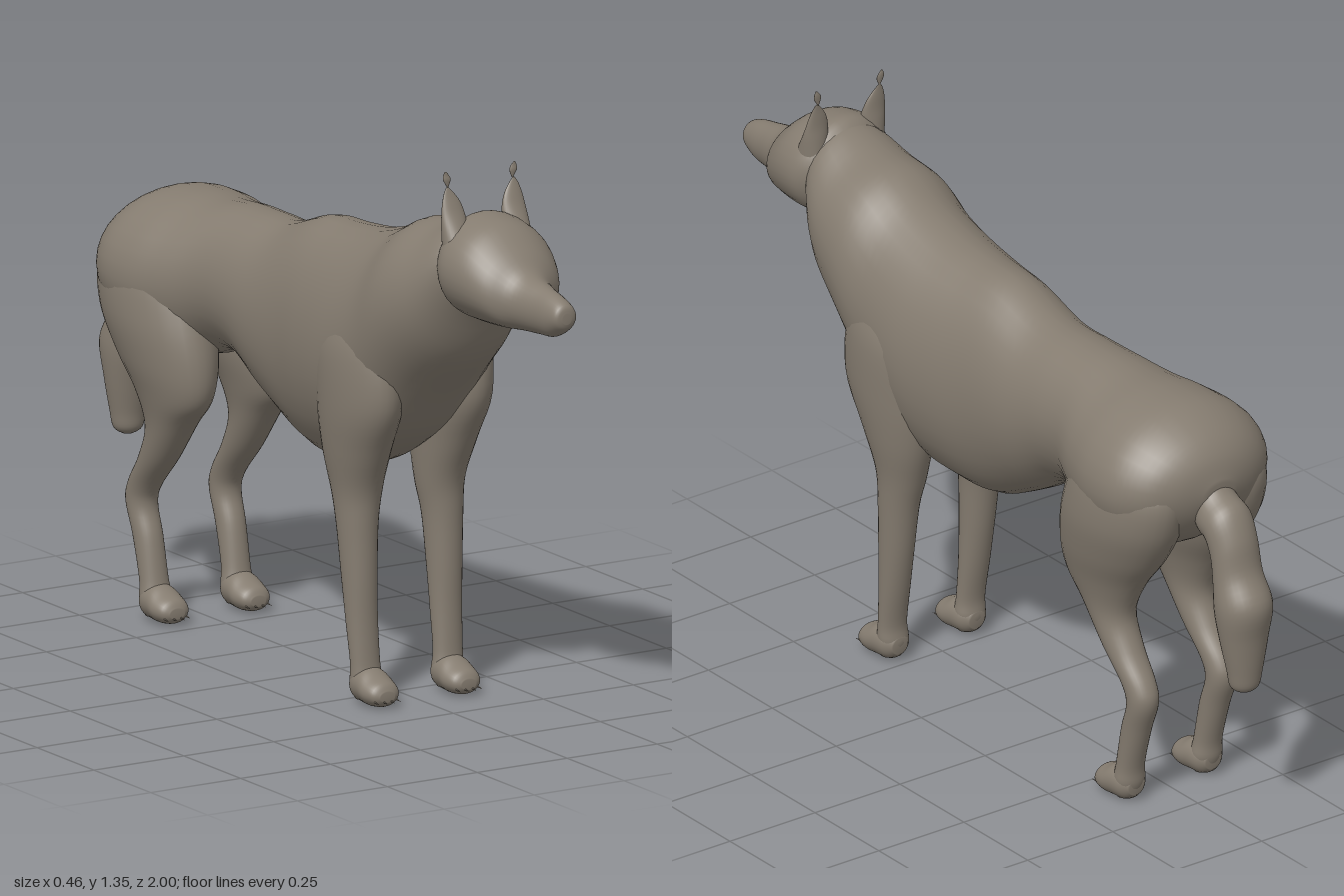
import * as THREE from 'three';

const SIDES = 32, STEPS = 5;

// Catmull-Rom blend of four values
const blend = (a, b, c, d, t) =>
  0.5 * (2 * b + (c - a) * t + (2 * a - 5 * b + 4 * c - d) * t * t + (3 * b - a - 3 * c + d) * t * t * t);

// Smooth skin over oval rings. Each ring is [zA, yA, zB, yB, xCentre, halfWidth]:
// A and B are the ends of its diameter in the side profile.
function loft(rings) {
  const at = (i) => rings[Math.min(rings.length - 1, Math.max(0, i))];
  const fine = [];
  for (let i = 0; i < rings.length - 1; i++) {
    for (let s = 0; s < STEPS; s++) {
      fine.push(rings[i].map((_, k) => blend(at(i - 1)[k], at(i)[k], at(i + 1)[k], at(i + 2)[k], s / STEPS)));
    }
  }
  fine.push(rings[rings.length - 1]);
  const pos = [], idx = [];
  for (const [zA, yA, zB, yB, x, w] of fine) {
    for (let j = 0; j < SIDES; j++) {
      const t = (j / SIDES) * Math.PI * 2, c = Math.cos(t) / 2;
      pos.push(x + w * Math.sin(t), (yA + yB) / 2 + (yA - yB) * c, (zA + zB) / 2 + (zA - zB) * c);
    }
  }
  const n = fine.length;
  for (let i = 0; i < n - 1; i++) {
    for (let j = 0; j < SIDES; j++) {
      const k = (j + 1) % SIDES, a = i * SIDES + j, b = i * SIDES + k;
      idx.push(a, b, b + SIDES, a, b + SIDES, a + SIDES);
    }
  }
  // end caps
  [fine[0], fine[n - 1]].forEach(([zA, yA, zB, yB, x], e) => {
    const pole = pos.length / 3, base = e * (n - 1) * SIDES;
    pos.push(x, (yA + yB) / 2, (zA + zB) / 2);
    for (let j = 0; j < SIDES; j++) {
      const a = base + j, b = base + ((j + 1) % SIDES);
      if (e) idx.push(pole, a, b);
      else idx.push(pole, b, a);
    }
  });
  const g = new THREE.BufferGeometry();
  g.setAttribute('position', new THREE.Float32BufferAttribute(pos, 3));
  g.setIndex(idx);
  g.computeVertexNormals();
  return g;
}

// nose to back of skull
const HEAD = [
  [1.0, 1.08, 1.0, 1.055, 0, 0.012], [0.993, 1.1, 0.99, 1.037, 0, 0.03],
  [0.96, 1.115, 0.95, 1.015, 0, 0.038], [0.9, 1.128, 0.9, 1.01, 0, 0.046],
  [0.84, 1.145, 0.84, 1.006, 0, 0.066], [0.79, 1.19, 0.8, 1.003, 0, 0.108],
  [0.73, 1.235, 0.74, 1.0, 0, 0.132], [0.67, 1.25, 0.67, 1.0, 0, 0.14],
  [0.625, 1.25, 0.635, 1.005, 0, 0.128], [0.59, 1.22, 0.6, 1.03, 0, 0.1],
];
// neck to rump
const BODY = [
  [0.66, 1.2, 0.67, 1.06, 0, 0.06], [0.62, 1.238, 0.63, 1.0, 0, 0.12],
  [0.52, 1.208, 0.57, 0.88, 0, 0.165], [0.42, 1.195, 0.46, 0.765, 0, 0.188],
  [0.32, 1.15, 0.35, 0.64, 0, 0.19], [0.2, 1.118, 0.2, 0.55, 0, 0.195],
  [0.08, 1.104, 0.08, 0.528, 0, 0.183], [-0.04, 1.096, -0.04, 0.537, 0, 0.166],
  [-0.18, 1.05, -0.18, 0.605, 0, 0.16], [-0.3, 1.045, -0.3, 0.675, 0, 0.155],
  [-0.4, 1.043, -0.4, 0.69, 0, 0.163], [-0.5, 1.034, -0.5, 0.66, 0, 0.198],
  [-0.6, 1.036, -0.6, 0.65, 0, 0.226], [-0.7, 1.028, -0.7, 0.675, 0, 0.226],
  [-0.78, 0.99, -0.77, 0.72, 0, 0.185], [-0.825, 0.94, -0.81, 0.77, 0, 0.12],
  [-0.843, 0.88, -0.835, 0.82, 0, 0.04],
];
// root to tip
const TAIL = [
  [-0.78, 0.92, -0.76, 0.8, 0, 0.045], [-0.85, 0.86, -0.8, 0.745, 0, 0.06],
  [-0.9, 0.83, -0.835, 0.73, 0, 0.064], [-0.935, 0.765, -0.85, 0.69, 0, 0.062],
  [-0.955, 0.685, -0.858, 0.63, 0, 0.064], [-0.998, 0.61, -0.86, 0.57, 0, 0.07],
  [-0.985, 0.52, -0.877, 0.5, 0, 0.06], [-0.973, 0.43, -0.893, 0.43, 0, 0.045],
  [-0.965, 0.388, -0.9, 0.388, 0, 0.036], [-0.945, 0.372, -0.92, 0.372, 0, 0.014],
];
// shoulder to heel
const FRONT_LEG = [
  [0.2, 0.95, 0.36, 0.97, 0.12, 0.045], [0.14, 0.85, 0.42, 0.88, 0.125, 0.075],
  [0.14, 0.72, 0.43, 0.74, 0.125, 0.078], [0.16, 0.6, 0.37, 0.62, 0.12, 0.07],
  [0.19, 0.5, 0.325, 0.52, 0.115, 0.058], [0.212, 0.42, 0.315, 0.43, 0.118, 0.049],
  [0.23, 0.3, 0.315, 0.3, 0.118, 0.043], [0.247, 0.2, 0.315, 0.2, 0.117, 0.04],
  [0.265, 0.1, 0.32, 0.1, 0.115, 0.038], [0.262, 0.05, 0.325, 0.06, 0.113, 0.04],
  [0.275, 0.012, 0.32, 0.012, 0.113, 0.028],
];
// hip to heel, bent at knee and hock
const HIND_LEG = [
  [-0.74, 0.95, -0.58, 0.95, 0.1, 0.05], [-0.81, 0.86, -0.48, 0.88, 0.115, 0.1],
  [-0.8, 0.76, -0.43, 0.76, 0.118, 0.112], [-0.745, 0.66, -0.408, 0.65, 0.116, 0.098],
  [-0.675, 0.57, -0.42, 0.565, 0.116, 0.074], [-0.635, 0.48, -0.48, 0.5, 0.116, 0.056],
  [-0.665, 0.4, -0.558, 0.4, 0.116, 0.047], [-0.715, 0.33, -0.63, 0.32, 0.116, 0.04],
  [-0.728, 0.28, -0.648, 0.27, 0.116, 0.038], [-0.7, 0.2, -0.626, 0.2, 0.115, 0.036],
  [-0.67, 0.1, -0.607, 0.1, 0.114, 0.036], [-0.665, 0.05, -0.6, 0.06, 0.113, 0.04],
  [-0.65, 0.012, -0.605, 0.012, 0.113, 0.028],
];
// toes to heel, measured from the tip of the toes
const PAW = [
  [0, 0.045, 0, 0.02, 0.113, 0.02], [-0.012, 0.063, -0.012, 0.008, 0.113, 0.038],
  [-0.04, 0.075, -0.04, 0.003, 0.113, 0.047], [-0.07, 0.09, -0.07, 0.003, 0.113, 0.046],
  [-0.105, 0.09, -0.105, 0.006, 0.113, 0.041], [-0.128, 0.065, -0.125, 0.022, 0.113, 0.022],
];
// base to top, a thin cupped blade
const EAR = [
  [0.7, 1.16, 0.61, 1.16, 0.085, 0.034], [0.665, 1.22, 0.612, 1.22, 0.084, 0.034],
  [0.646, 1.255, 0.615, 1.255, 0.084, 0.031], [0.634, 1.283, 0.616, 1.283, 0.086, 0.024],
  [0.625, 1.305, 0.617, 1.305, 0.09, 0.013], [0.62, 1.318, 0.617, 1.318, 0.092, 0.003],
];
const EAR_TIP = [
  [0.618, 1.318, 0.615, 1.318, 0.09, 0.002], [0.62, 1.335, 0.613, 1.335, 0.092, 0.01],
  [0.618, 1.346, 0.613, 1.346, 0.094, 0.008], [0.617, 1.355, 0.615, 1.355, 0.096, 0.002],
];

export function createModel() {
  const model = new THREE.Group();
  model.name = 'wolf';
  const fur = new THREE.MeshStandardMaterial({ color: 0x857c70 });
  fur.name = 'greyBrownFur';

  const add = (name, geometry) => {
    const mesh = new THREE.Mesh(geometry, fur);
    mesh.name = name;
    model.add(mesh);
    return mesh;
  };
  add('head', loft(HEAD));
  add('body', loft(BODY));
  add('tail', loft(TAIL));

  // paired parts
  for (const [label, s] of [['left', 1], ['right', -1]]) {
    const mirrored = (rings, dz = 0) =>
      loft(rings.map(([zA, yA, zB, yB, x, w]) => [zA + dz, yA, zB + dz, yB, x * s, w]));
    add(label + 'Ear', mirrored(EAR));
    add(label + 'EarTip', mirrored(EAR_TIP));
    for (const [part, leg, toe] of [['Front', FRONT_LEG, 0.39], ['Hind', HIND_LEG, -0.535]]) {
      add(label + part + 'Leg', mirrored(leg));
      add(label + part + 'Paw', mirrored(PAW, toe));
      // four claws per paw
      for (let i = 0; i < 4; i++) {
        const off = (i - 1.5) * 0.02;
        const claw = new THREE.ConeGeometry(0.005, 0.04, 8).rotateX(Math.PI / 2 + 0.1);
        add(label + part + 'Claw', claw)
          .position.set(s * 0.113 + off, 0.022, toe + 0.002 - Math.abs(off) * 0.4);
      }
    }
  }
  return model;
}
